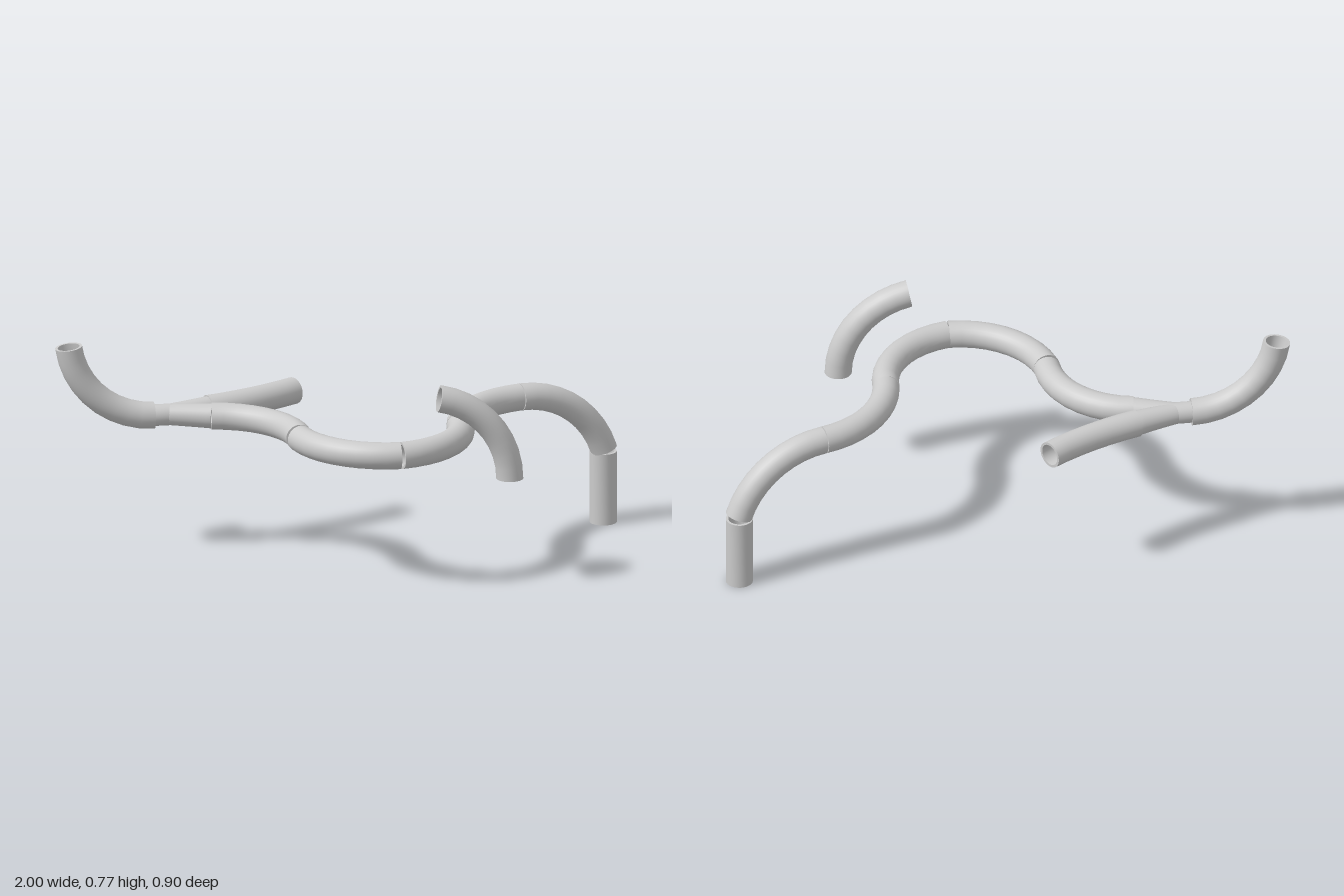
import * as THREE from 'three';
import { mergeGeometries } from 'three/addons/utils/BufferGeometryUtils.js';

const R = 0.0475, WALL = 0.009, SIDES = 28;
const V = (x, y, z) => new THREE.Vector3(x, y, z);

// Circular arc leaving p0 along dir and reaching p1; gives ring centres and frames.
function arcFrames(p0, p1, dir, steps) {
  const d = dir.clone().normalize();
  const chord = p1.clone().sub(p0);
  const len = chord.length();
  const a = d.angleTo(chord);
  const straight = a < 0.01;
  const n = straight
    ? (Math.abs(d.y) > 0.9 ? V(1, 0, 0) : V(0, 1, 0))
    : chord.clone();
  n.addScaledVector(d, -n.dot(d)).normalize();
  const b = d.clone().cross(n);
  const count = straight ? 1 : steps;
  const rad = straight ? 0 : len / (2 * Math.sin(a));
  const frames = [];
  for (let i = 0; i <= count; i++) {
    const u = i / count;
    const t = straight ? 0 : 2 * a * u;
    const c = p0.clone();
    if (straight) c.addScaledVector(chord, u);
    else c.addScaledVector(d, rad * Math.sin(t)).addScaledVector(n, rad * (1 - Math.cos(t)));
    const nn = n.clone().multiplyScalar(Math.cos(t)).addScaledVector(d, -Math.sin(t));
    frames.push({ c, n: nn, b, u });
  }
  return frames;
}

// Smooth strip through a list of [frame, radius] rings
function strip(rings) {
  const pos = [], idx = [];
  rings.forEach(([f, r], i) => {
    for (let j = 0; j < SIDES; j++) {
      const th = (j / SIDES) * Math.PI * 2;
      const p = f.c.clone()
        .addScaledVector(f.n, r * Math.cos(th))
        .addScaledVector(f.b, r * Math.sin(th));
      pos.push(p.x, p.y, p.z);
      if (i < rings.length - 1) {
        const k = (j + 1) % SIDES;
        const A = i * SIDES + j, B = i * SIDES + k;
        idx.push(A, B, A + SIDES, B, B + SIDES, A + SIDES);
      }
    }
  });
  const g = new THREE.BufferGeometry();
  g.setAttribute('position', new THREE.Float32BufferAttribute(pos, 3));
  g.setIndex(idx);
  g.computeVertexNormals();
  return g;
}

// Hollow pipe: outer wall, inner wall and a flat rim at each end
function pipe(p0, p1, dir, r0 = R, r1 = R, steps = 9) {
  const fr = arcFrames(p0, p1, dir, steps);
  const outer = fr.map(f => [f, r0 + (r1 - r0) * f.u]);
  const inner = outer.map(([f, r]) => [f, r - WALL]).reverse();
  const last = outer.length - 1;
  return mergeGeometries([
    strip(outer),
    strip([outer[last], inner[0]]),
    strip(inner),
    strip([inner[last], outer[0]]),
  ]);
}

// Direction in the level plane, in degrees from +x towards +z
const level = deg => {
  const a = THREE.MathUtils.degToRad(deg);
  return V(Math.cos(a), 0, Math.sin(a));
};

export function createModel() {
  const group = new THREE.Group();
  const material = new THREE.MeshStandardMaterial({ color: 0xcccccc });
  const add = (name, ...args) => {
    const mesh = new THREE.Mesh(pipe(...args), material);
    mesh.name = name;
    (mesh.parent || group).add(mesh);
    return mesh;
  };
  const Y = 0.498;

  // Upturned end
  add('upturnedBend', V(-0.65, Y, -0.213), V(-0.951, 0.762, -0.213), V(-1, 0, 0));

  // Forked joint: a narrow stem and two flaring arms
  const fork = new THREE.Group();
  fork.name = 'forkJoint';
  group.add(fork);
  fork.add(
    add('forkStem', V(-0.655, Y, -0.213), V(-0.57, Y, -0.213), V(1, 0, 0), 0.038, 0.038),
    add('forkBackArm', V(-0.6, Y, -0.213), V(-0.45, Y, -0.257), level(-14), 0.037, 0.044),
    add('forkFrontArm', V(-0.6, Y, -0.213), V(-0.45, Y, -0.17), level(14), 0.037, 0.044),
  );

  // Short gently curved branch
  add('sideBranch', V(-0.453, Y, -0.257), V(-0.123, Y, -0.415), level(-17), R, R, 6);

  // Winding level run
  add('firstBend', V(-0.453, Y, -0.17), V(-0.193, Y, 0.133), level(9));
  add('secondBend', V(-0.192, Y, 0.143), V(0.117, Y, 0.396), level(78));
  add('thirdBend', V(0.122, Y, 0.396), V(0.38, Y, 0.09), level(-10));
  add('fourthBend', V(0.38, Y, 0.09), V(0.642, Y, -0.208), level(-82));

  // Drop to the ground
  add('dropBend', V(0.645, Y, -0.209), V(0.953, 0.267, -0.293), level(-15.3));
  add('downPipe', V(0.952, 0.258, -0.297), V(0.952, 0, -0.297), V(0, -1, 0));

  // Separate upright bend beside the run
  add('crossingBend', V(0.507, 0.39, 0.378), V(0.258, 0.693, 0.378), V(0, 1, 0));

  return group;
}
